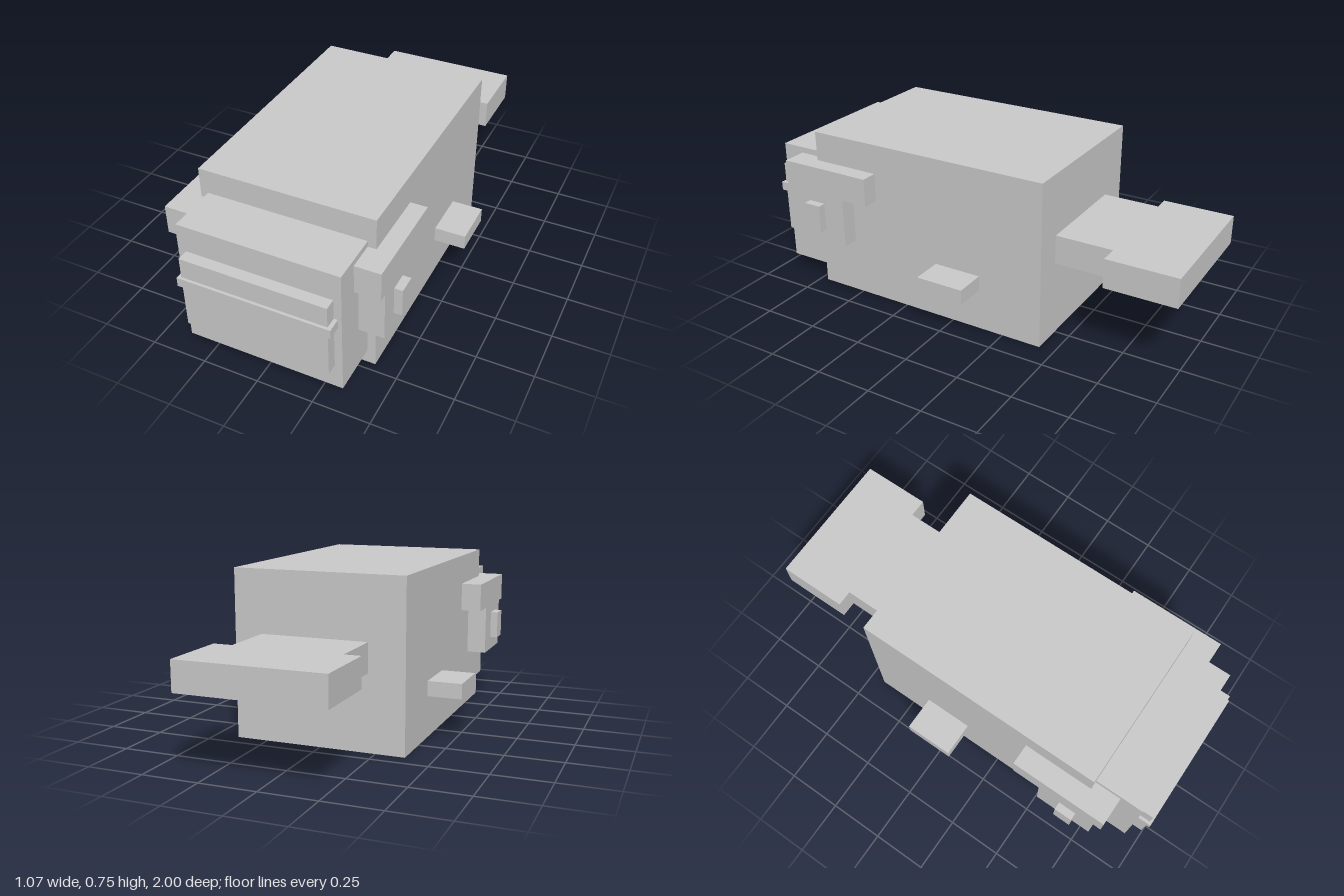
import * as THREE from 'three';

const material = new THREE.MeshStandardMaterial({ color: 0xcccccc, flatShading: true });

// Box given by its lower and upper limits on each axis
function block(name, [x0, x1], [y0, y1], [z0, z1]) {
  const mesh = new THREE.Mesh(new THREE.BoxGeometry(x1 - x0, y1 - y0, z1 - z0), material);
  mesh.name = name;
  mesh.position.set((x0 + x1) / 2, (y0 + y1) / 2, (z0 + z1) / 2);
  return mesh;
}

// Flat tail plate: narrow neck that widens into a broad end
function tailPlate() {
  const shape = new THREE.Shape([
    [-0.217, 0.43], [0.265, 0.43], [0.265, 0.685], [0.35, 0.685],
    [0.35, 1], [-0.29, 1], [-0.29, 0.685], [-0.217, 0.685],
  ].map(([x, y]) => new THREE.Vector2(x, y)));
  const geometry = new THREE.ExtrudeGeometry(shape, { depth: 0.13, bevelEnabled: false });
  geometry.rotateX(-Math.PI / 2);
  const mesh = new THREE.Mesh(geometry, material);
  mesh.name = 'tail';
  mesh.position.y = 0.34;
  return mesh;
}

// Stepped bracket, its knob and the peg further back, on one side
function sideParts(side, outer) {
  const group = new THREE.Group();
  group.name = side + 'SideParts';
  const span = (reach) => (side === 'left' ? [0.3, reach] : [-reach, -0.3]);
  group.add(
    block('bracketTop', span(outer.top), [0.485, 0.613], [0.395, 0.835]),
    block('bracketLower', span(outer.lower), [0.257, 0.485], [0.525, 0.797]),
    block('knob', span(outer.knob), [0.318, 0.445], [0.63, 0.712]),
    block('peg', span(outer.peg), [0.188, 0.256], [-0.135, 0.085]),
  );
  return group;
}

export function createModel() {
  const model = new THREE.Group();
  model.name = 'model';

  // Main body and the stepped front
  model.add(
    block('body', [-0.38, 0.391], [0, 0.748], [-0.43, 0.715]),
    block('frontBlock', [-0.346, 0.355], [0.065, 0.64], [0.7, 0.938]),
    block('frontPanel', [-0.315, 0.322], [0.18, 0.518], [0.93, 0.988]),
    block('frontBar', [-0.329, 0.339], [0.385, 0.426], [0.93, 1]),
  );

  model.add(sideParts('left', { top: 0.466, lower: 0.465, knob: 0.501, peg: 0.532 }));
  model.add(sideParts('right', { top: 0.473, lower: 0.469, knob: 0.503, peg: 0.534 }));
  model.add(tailPlate());

  return model;
}
